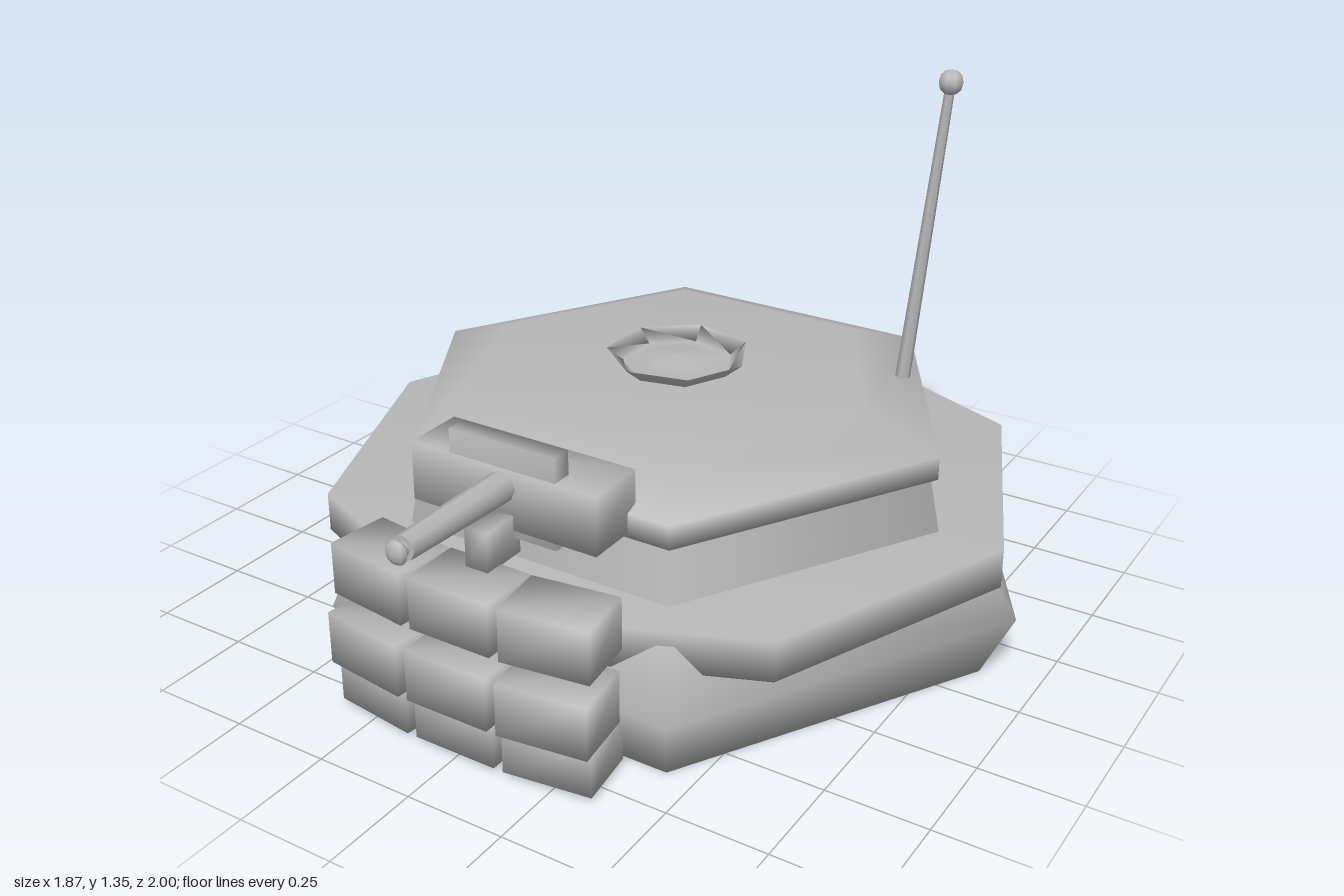
import * as THREE from 'three';
import { mergeVertices } from 'three/addons/utils/BufferGeometryUtils.js';

const CENTRE_Z = -0.11; // axis of the bunker body

export function createModel() {
  const model = new THREE.Group();
  model.name = 'bunker';
  const grey = new THREE.MeshStandardMaterial({ color: 0xb8b8b8 });
  grey.name = 'concrete grey';

  function add(name, geometry, x = 0, y = 0, z = 0, parent = model) {
    const mesh = new THREE.Mesh(geometry, grey);
    mesh.name = name;
    mesh.position.set(x, y, z);
    parent.add(mesh);
    return mesh;
  }

  // Few-sided turned solid about the bunker axis; profile runs bottom to top
  function turned(name, sides, startAngle, profile) {
    const points = profile.map(([r, y]) => new THREE.Vector2(r, y));
    return add(name, new THREE.LatheGeometry(points, sides, startAngle), 0, 0, CENTRE_Z);
  }

  // Box with shared corners, so its shading is soft
  function softBox(w, h, d) {
    const box = new THREE.BoxGeometry(w, h, d);
    box.deleteAttribute('normal');
    box.deleteAttribute('uv');
    const merged = mergeVertices(box);
    merged.computeVertexNormals();
    return merged;
  }

  // Rod between two points
  function rod(name, from, to, r0, r1, sides, parent) {
    const dir = to.clone().sub(from);
    const mid = from.clone().add(to).multiplyScalar(0.5);
    const mesh = add(name, new THREE.CylinderGeometry(r1, r0, dir.length(), sides), mid.x, mid.y, mid.z, parent);
    mesh.quaternion.setFromUnitVectors(new THREE.Vector3(0, 1, 0), dir.normalize());
    return mesh;
  }

  // Body: six-sided base, eight-sided ledge, six-sided wall and roof
  const side = Math.PI / 2;
  turned('base', 6, side, [[0, 0], [0.855, 0], [0.935, 0.17], [0.84, 0.31], [0, 0.31]]);
  turned('ledge', 8, 0, [[0, 0.245], [0.89, 0.245], [0.89, 0.345], [0, 0.345]]);
  turned('wall', 6, side, [[0.727, 0.34], [0.695, 0.485]]);
  turned('roof', 6, side, [[0, 0.48], [0.715, 0.48], [0.715, 0.54], [0.52, 0.606], [0, 0.606]]);

  // Dished hatch on the roof
  turned('hatch', 7, side, [[0.13, 0.602], [0.182, 0.645], [0.14, 0.615], [0.07, 0.632], [0, 0.638]]);

  // Antenna with a knob
  const antenna = new THREE.Group();
  antenna.name = 'antenna';
  model.add(antenna);
  const tip = new THREE.Vector3(0.52, 1.32, -0.495);
  rod('antennaMast', new THREE.Vector3(0.468, 0.565, -0.435), tip, 0.019, 0.012, 6, antenna);
  add('antennaKnob', new THREE.SphereGeometry(0.031, 8, 6), tip.x, tip.y, tip.z, antenna);

  // Gun: housing, shield plate, post and barrel
  const gun = new THREE.Group();
  gun.name = 'gun';
  model.add(gun);
  add('gunHousing', softBox(0.5, 0.145, 0.155), 0, 0.563, 0.555, gun);
  add('gunShield', softBox(0.285, 0.225, 0.052), 0, 0.583, 0.603, gun);
  add('gunPost', softBox(0.06, 0.1, 0.12), 0, 0.477, 0.67, gun);
  rod('gunBarrel', new THREE.Vector3(0, 0.59, 0.47), new THREE.Vector3(0, 0.597, 0.965), 0.041, 0.03, 8, gun);
  rod('muzzleNeck', new THREE.Vector3(0, 0.597, 0.96), new THREE.Vector3(0, 0.597, 0.98), 0.018, 0.018, 8, gun);
  const muzzle = add('muzzle', new THREE.SphereGeometry(0.029, 8, 6), 0, 0.597, 0.985, gun);
  muzzle.scale.z = 0.5;

  // Three curved rows of sandbags, the middle row shifted
  const sandbags = new THREE.Group();
  sandbags.name = 'sandbags';
  model.add(sandbags);
  const rows = [[0.08, 0, 0], [0.225, 0.032, 0.06], [0.365, 0, 0]];
  for (const [y, shiftX, shiftZ] of rows) {
    for (const i of [-1, 0, 1]) {
      const z = 0.76 - Math.abs(i) * 0.013 + shiftZ;
      const bag = add('sandbag', softBox(0.218, 0.13, 0.155), i * 0.232 + shiftX, y, z, sandbags);
      bag.rotation.y = i * 0.13;
    }
  }

  return model;
}
